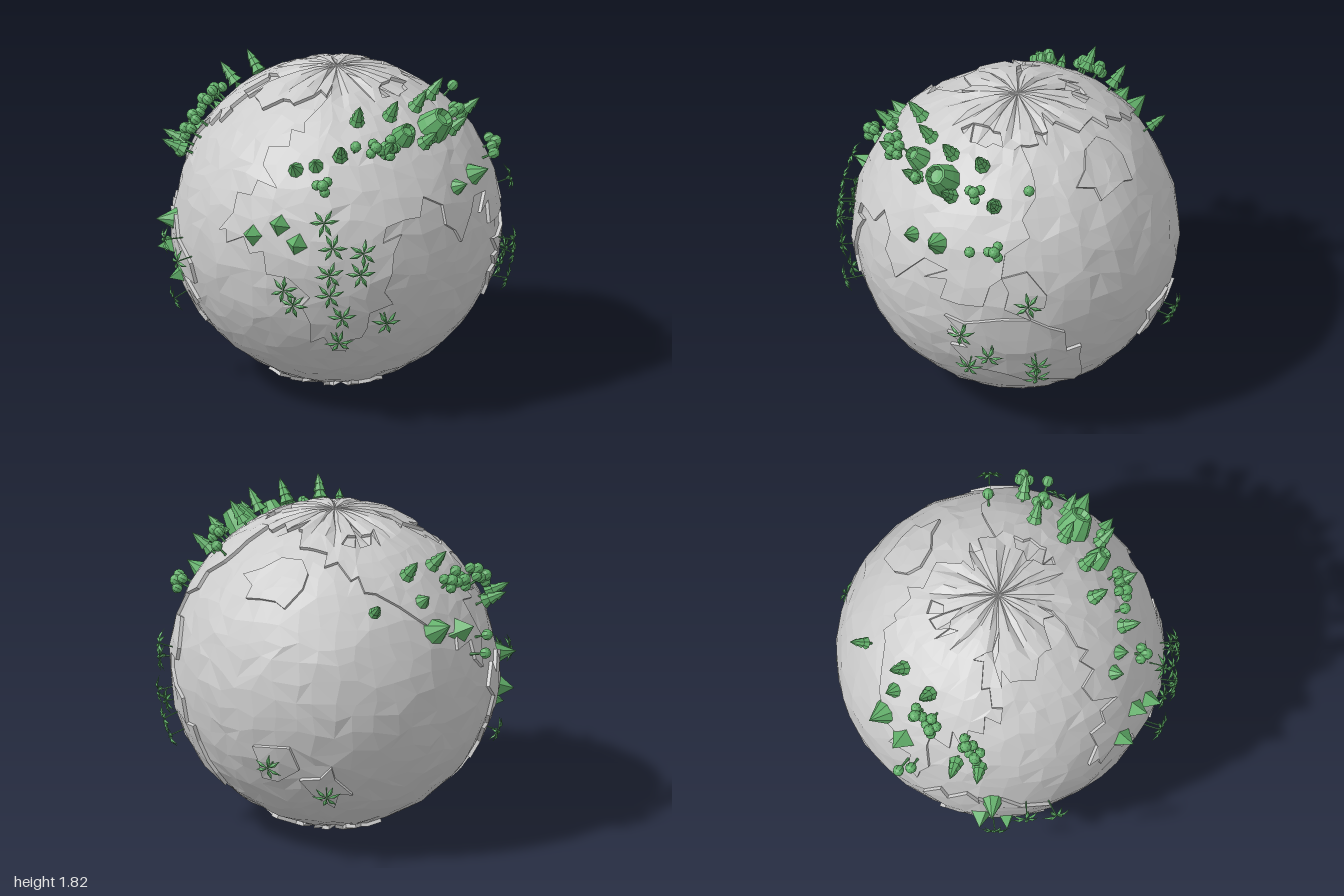
import * as THREE from 'three';
import { mergeGeometries } from 'three/addons/utils/BufferGeometryUtils.js';

const CENTER = new THREE.Vector3(0.01, 0.925, -0.025);
const SEA = 0.89, LAND = 0.91, COLS = 48, ROWS = 28;
const { degToRad, radToDeg } = THREE.MathUtils;
const grey = new THREE.MeshStandardMaterial({ color: 0xcccccc, flatShading: true });
const green = new THREE.MeshStandardMaterial({ color: 0x62b06a, flatShading: true, side: THREE.DoubleSide });

// Seeded random numbers from 0 to 1
let seed = 11;
const rand = () => (seed = (seed * 16807) % 2147483647) / 2147483647;

// Coarse coasts, as [longitude, latitude] in degrees
const CONTINENTS = [
  [[-19, 12], [-8, 33], [32, 32], [50, 11], [40, -16], [24, -36], [9, 1]],
  [[-10, 38], [36, 14], [62, 24], [78, 6], [90, 20], [104, 2], [122, 24], [140, 62], [20, 70]],
  [[-165, 65], [-125, 42], [-83, 8], [-85, 28], [-52, 48], [-75, 68]],
  [[-80, 5], [-50, 3], [-36, -8], [-66, -54], [-72, -20]],
  [[100, 2], [138, -3], [152, -25], [148, -36], [104, -22]],
];
// Islands: longitude, latitude and half sizes
const ISLANDS = [[-40, 68, 18, 10], [178, 48, 17, 9], [128, 11, 6, 7], [187, -18, 8, 8], [207, -29, 7, 7]];

function inside(lon, lat, poly) {
  let hit = false;
  poly.forEach(([x1, y1], i) => {
    const [x2, y2] = poly[(i + 1) % poly.length];
    if ((y1 > lat) !== (y2 > lat) && lon < ((x2 - x1) * (lat - y1)) / (y2 - y1) + x1) hit = !hit;
  });
  return hit;
}

function isLand(dir) {
  const a = Math.atan2(dir.x, dir.z), lon = radToDeg(a), lat = radToDeg(Math.asin(dir.y));
  // Ragged polar caps
  if (lat > 68 + 5 * Math.sin(a * 5) || lat < -69 - 5 * Math.sin(a * 4 + 1)) return true;
  return CONTINENTS.some(p => inside(lon, lat, p)) || ISLANDS.some(([x, y, rx, ry]) =>
    Math.hypot((((lon - x + 540) % 360) - 180) / rx, (lat - y) / ry) < 1);
}

const direction = (lon, lat) => new THREE.Vector3(Math.sin(lon) * Math.cos(lat), Math.sin(lat), Math.cos(lon) * Math.cos(lat));

// Jittered globe grid: the sea is the whole ball, the land raises chosen facets
function globe() {
  const dirs = [], bump = [], tris = [];
  for (let j = 0; j <= ROWS; j++) for (let i = 0; i < COLS; i++) {
    const nearPole = Math.min(j, ROWS - j), wobble = nearPole ? 0.6 : 0;
    const lat = Math.PI * (0.5 - (j + (rand() - 0.5) * wobble) / ROWS);
    dirs.push(direction(((i + (rand() - 0.5) * wobble) / COLS) * Math.PI * 2, lat));
    // Grooves fan out from both poles
    bump.push(!nearPole ? 0 : nearPole < 4 ? (i % 4 === 0 ? -0.016 : 0.004) : (rand() - 0.5) * 0.012);
  }
  const id = (i, j) => (j === 0 ? 0 : j === ROWS ? ROWS * COLS : j * COLS + (i % COLS));
  for (let j = 0; j < ROWS; j++) for (let i = 0; i < COLS; i++) {
    const a = id(i, j), b = id(i + 1, j), c = id(i, j + 1), d = id(i + 1, j + 1);
    if (j === 0) tris.push([a, c, d]);
    else if (j === ROWS - 1) tris.push([a, c, b]);
    else if (rand() > 0.5) tris.push([a, c, d], [a, d, b]);
    else tris.push([a, c, b], [b, c, d]);
  }
  const point = (k, r) => dirs[k].clone().multiplyScalar(r + bump[k]);
  const land = tris.filter(([a, b, c]) => isLand(dirs[a].clone().add(dirs[b]).add(dirs[c]).normalize()));
  const plates = land.flatMap(t => t.map(k => point(k, LAND)));
  const edges = new Set(land.flatMap(t => t.map((k, n) => k + '_' + t[(n + 1) % 3])));
  // Cliff walls along the coast
  for (const e of edges) {
    const [p, q] = e.split('_').map(Number);
    if (edges.has(q + '_' + p)) continue;
    const pt = point(p, LAND), qt = point(q, LAND), pb = point(p, SEA - 0.015), qb = point(q, SEA - 0.015);
    plates.push(pb, qb, qt, pb, qt, pt);
  }
  const mesh = (name, points) => {
    const g = new THREE.BufferGeometry().setFromPoints(points);
    g.computeVertexNormals();
    const m = new THREE.Mesh(g, grey);
    m.name = name;
    m.position.copy(CENTER);
    return m;
  };
  return [mesh('ocean', tris.flatMap(t => t.map(k => point(k, SEA)))), mesh('landPlates', plates)];
}

// Plants and hills: local y points away from the globe
const cone = (r, h, y, n = 7, rTop = 0) => new THREE.CylinderGeometry(rTop, r, h, n).translate(0, y + h / 2, 0);
const ball = (r, x, y, z) => new THREE.SphereGeometry(r, 8, 6).translate(x, y, z);
const trunk = h => cone(0.008, h, -0.02, 6, 0.006);
const merge = list => mergeGeometries(list.map(g => g.toNonIndexed()));

function pineGeometry() {
  const tiers = [0, 1, 2].map(i => cone(0.045 - i * 0.009, 0.065, 0.03 + i * 0.04, 7, i < 2 ? 0.01 : 0));
  return merge([trunk(0.06), ...tiers]);
}

function clusterGeometry() {
  const sides = [0, 1, 2].map(i => ball(0.03, 0.035 * Math.cos(i * 2.1), 0.06, 0.035 * Math.sin(i * 2.1)));
  return merge([trunk(0.07), ball(0.034, 0, 0.085, 0), ...sides]);
}

function palmGeometry() {
  const stem = new THREE.QuadraticBezierCurve3(new THREE.Vector3(-0.015, -0.02, 0), new THREE.Vector3(-0.01, 0.05, 0), new THREE.Vector3(0, 0.085, 0));
  const parts = [new THREE.TubeGeometry(stem, 4, 0.004, 5)];
  // Drooping leaves: a strip, pinched at both ends and folded along the middle
  for (let i = 0; i < 6; i++) {
    const leaf = new THREE.PlaneGeometry(0.085, 0.026, 2, 2).rotateX(-Math.PI / 2).translate(0.0425, 0, 0);
    const pos = leaf.attributes.position;
    for (let k = 0; k < pos.count; k++) {
      const t = pos.getX(k) / 0.085, z = pos.getZ(k) * Math.sin(Math.PI * t);
      pos.setXYZ(k, pos.getX(k), 0.085 + 0.05 * t - 0.067 * t * t - Math.abs(z) * 0.8, z);
    }
    parts.push(leaf.rotateY((i * Math.PI) / 3 + (i % 2) * 0.2));
  }
  return merge(parts);
}

const crater = [[0.1, -0.02], [0.085, 0.05], [0.062, 0.12], [0.05, 0.125], [0.04, 0.09], [0, 0.085]];
const KINDS = {
  pine: pineGeometry(),
  roundTree: merge([trunk(0.08), ball(0.032, 0, 0.078, 0)]),
  clusterTree: clusterGeometry(),
  peak: cone(0.075, 0.11, -0.02, 4),
  hill: cone(0.055, 0.1, -0.02, 8),
  volcano: new THREE.LatheGeometry(crater.map(p => new THREE.Vector2(...p)), 9),
  palm: palmGeometry(),
};

// Sets one kind of part on the ground at [longitude, latitude, scale]
function plant(name, kind, spots) {
  const set = new THREE.Group();
  set.name = name;
  for (const [lon, lat, scale = 1] of spots) {
    const m = new THREE.Mesh(KINDS[kind], green);
    const dir = direction(degToRad(lon), degToRad(lat));
    m.name = kind;
    m.position.copy(CENTER).addScaledVector(dir, LAND - 0.005);
    m.quaternion.setFromUnitVectors(new THREE.Vector3(0, 1, 0), dir);
    if (kind !== 'peak') m.rotateY(rand() * Math.PI * 2);
    m.scale.setScalar(scale);
    set.add(m);
  }
  return set;
}

export function createModel() {
  const model = new THREE.Group();
  model.name = 'planet';
  // Pines of the eastern forest stand in two staggered rows
  const pineRows = Array.from({ length: 9 }, (_, i) => [28 + i * 10.7, i % 2 ? 56 : 43]);
  model.add(
    ...globe(),
    plant('eastPines', 'pine', pineRows),
    plant('westPines', 'pine', [[-92, 48], [-111, 48], [-71, 27], [-62, 27], [-133, 37, 0.8]]),
    plant('eastRoundTrees', 'roundTree', [[35, 45], [52, 46], [73, 43], [107, 27], [130, 48]]),
    plant('westRoundTrees', 'roundTree', [[-90, 14], [-86, 19], [-85, 42]]),
    plant('eastClusterTrees', 'clusterTree', [[21, 32], [44, 44], [51, 43], [104, 46], [116, 28]]),
    plant('westClusterTrees', 'clusterTree', [[-84, 38], [-92, 40], [-64, 33], [-68, 37]]),
    plant('peaks', 'peak', [[-5, 13], [5, 18], [12, 12], [-61, -8], [-52, -16, 0.8], [-94, 24, 1.15]]),
    plant('hills', 'hill', [[8, 38], [17, 40], [80, 25], [92, 26, 1.45], [-57, 3, 1.2], [-106, 27, 1.5], [-108, 38]]),
    plant('volcanoes', 'volcano', [[84, 47], [63, 48, 0.7]]),
    plant('southPalms', 'palm', [[22, 20], [25, 12], [35, 10], [34, 3], [24, 3], [24, -4], [9, -3], [12, -8], [28, -12], [43, -15], [27, -22]]),
    plant('westPalms', 'palm', [[-36, -4], [-46, 0], [-56, -25]]),
    plant('eastPalms', 'palm', [[106, -3], [108, -17], [115, -11], [128, 10], [131, -15], [131, -21]]),
    plant('islandPalms', 'palm', [[187, -17], [207, -28]]),
  );
  return model;
}
